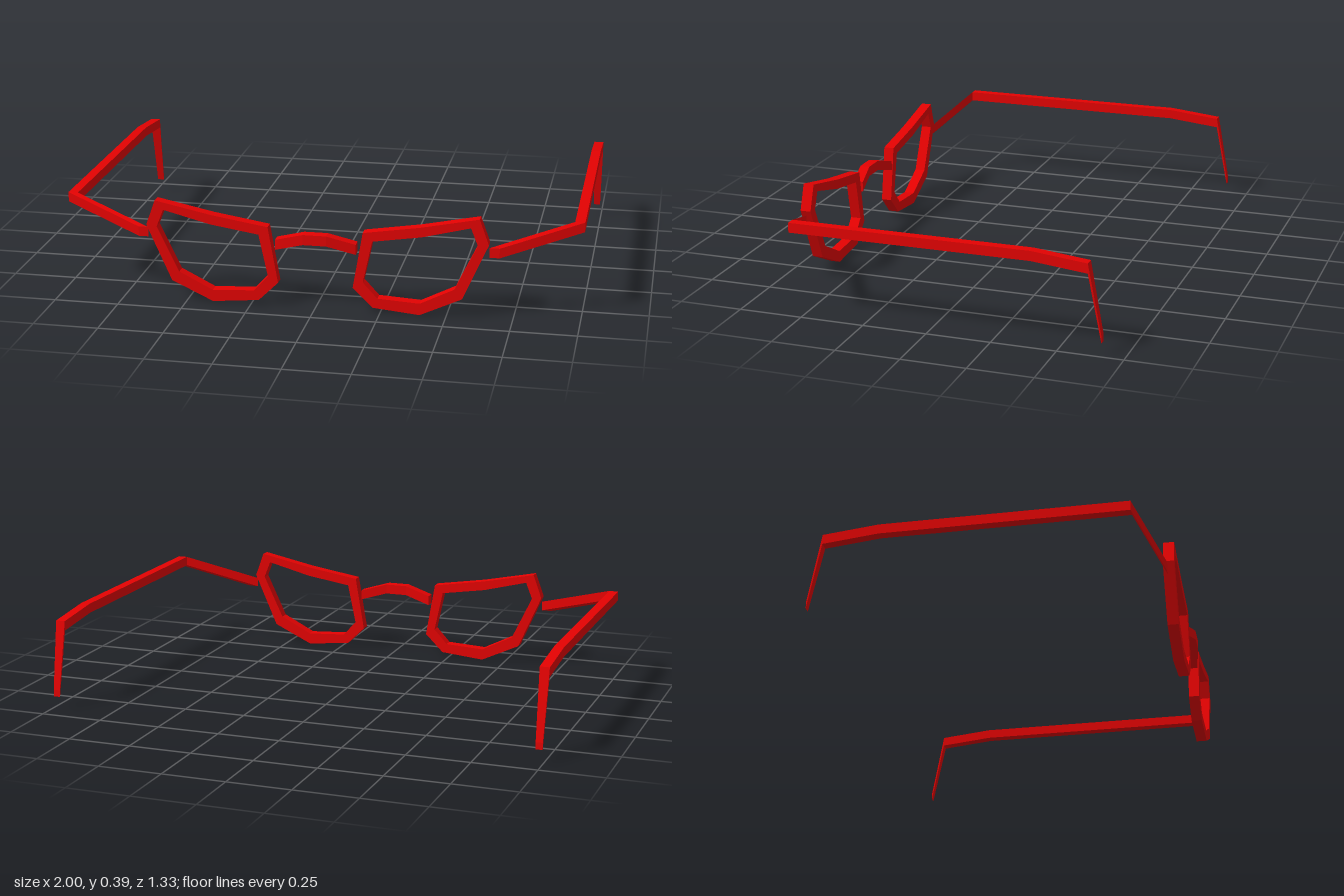
import * as THREE from 'three';

const red = new THREE.MeshStandardMaterial({ color: 0xe40202 });
red.name = 'red';

// Joins four-cornered rings into a closed, hard-edged bar.
function loft(rings) {
  const pos = [];
  const quad = (a, b, c, d) => [a, b, c, a, c, d].forEach((p) => pos.push(...p));
  for (let r = 0; r < rings.length - 1; r++) {
    const a = rings[r], b = rings[r + 1];
    for (let i = 0; i < 4; i++) {
      const j = (i + 1) % 4;
      quad(a[i], b[i], b[j], a[j]);
    }
  }
  const first = rings[0], last = rings[rings.length - 1];
  quad(first[0], first[1], first[2], first[3]);
  quad(last[3], last[2], last[1], last[0]);
  const g = new THREE.BufferGeometry();
  g.setAttribute('position', new THREE.Float32BufferAttribute(pos, 3));
  g.computeVertexNormals();
  return g;
}

// Square section facing z, for the arms.
function ringZ(x, y, z, size) {
  const h = size / 2;
  return [[x - h, y - h, z], [x + h, y - h, z], [x + h, y + h, z], [x - h, y + h, z]];
}

// Square section facing x, for the bridge.
function ringX(x, y, z, size) {
  const h = size / 2;
  return [[x, y - h, z + h], [x, y - h, z - h], [x, y + h, z - h], [x, y + h, z + h]];
}

const rimOuter = [[0.62, 0.393], [0.397, 0.347], [0.182, 0.313], [0.144, 0.092],
  [0.22, 0.017], [0.4, 0], [0.56, 0.075], [0.656, 0.294]];
const rimInner = [[0.588, 0.357], [0.404, 0.31], [0.218, 0.281], [0.183, 0.116],
  [0.239, 0.055], [0.4, 0.046], [0.531, 0.112], [0.615, 0.289]];

// Outlines run anticlockwise on both sides, so the hole walls face inwards.
function rimGeometry(side) {
  const points = (list) => {
    const p = list.map(([x, y]) => new THREE.Vector2(side * x, y));
    return side > 0 ? p : p.reverse();
  };
  const shape = new THREE.Shape(points(rimOuter));
  shape.holes.push(new THREE.Path(points(rimInner)));
  return new THREE.ExtrudeGeometry(shape, { depth: 0.042, bevelEnabled: false }).translate(0, 0, 0.609);
}

// Arm centre line, from the hinge back to the ear hook: x, y, z, thickness.
const armPath = [
  [0.675, 0.257, 0.627, 0.038],
  [0.981, 0.349, 0.538, 0.038],
  [0.981, 0.349, -0.4, 0.038],
  [0.981, 0.327, -0.613, 0.038],
  [0.981, 0.062, -0.665, 0.027],
];

// Bridge centre line, from the model's left to its right: x, y, z.
const bridgePath = [
  [0.155, 0.243, 0.627],
  [0.045, 0.275, 0.644],
  [-0.045, 0.275, 0.644],
  [-0.155, 0.243, 0.627],
];

export function createModel() {
  const model = new THREE.Group();
  model.name = 'glasses';
  const add = (name, geometry) => {
    const mesh = new THREE.Mesh(geometry, red);
    mesh.name = name;
    model.add(mesh);
  };

  for (const [name, side] of [['left', 1], ['right', -1]]) {
    add(name + 'Rim', rimGeometry(side));
    add(name + 'Arm', loft(armPath.map(([x, y, z, s]) => ringZ(side * x, y, z, s))));
  }
  add('bridge', loft(bridgePath.map(([x, y, z]) => ringX(x, y, z, 0.04))));
  return model;
}
